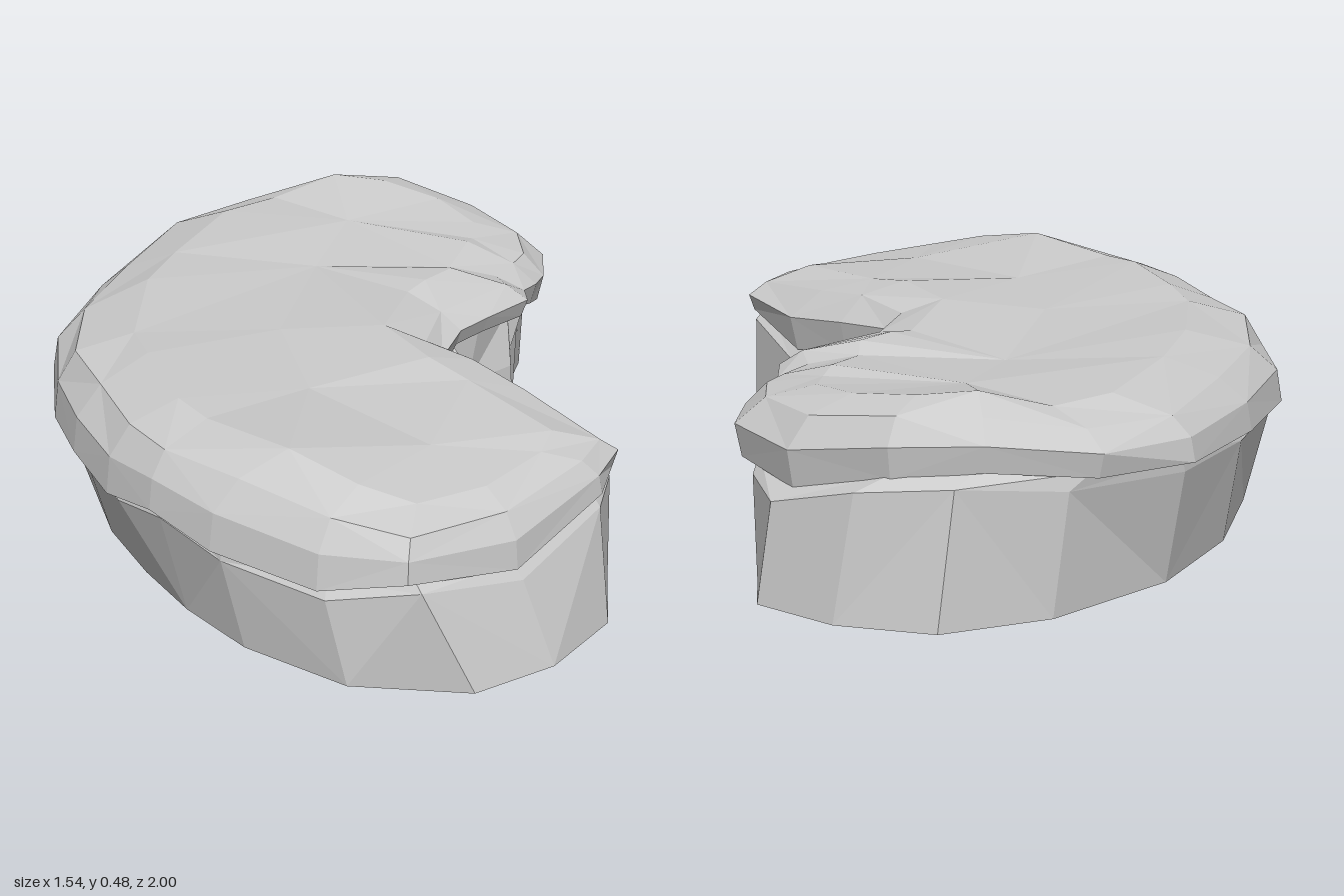
import * as THREE from 'three';

// Overhanging rim, clockwise from the back: x, z, height of its lower edge, height of its shoulder
const RIM = [
  [0.15, -1.0, 0.30, 0.40], [0.40, -0.95, 0.33, 0.44], [0.57, -0.84, 0.31, 0.44], [0.70, -0.62, 0.25, 0.405],
  [0.72, -0.38, 0.26, 0.395], [0.64, -0.25, 0.27, 0.39], [0.58, -0.19, 0.29, 0.39], [0.52, -0.15, 0.31, 0.39],
  [0.48, -0.07, 0.32, 0.40], [0.33, -0.01, 0.33, 0.40], [0.23, 0.03, 0.33, 0.40], [0.12, 0.13, 0.31, 0.40],
  [0.17, 0.28, 0.27, 0.41], [0.22, 0.47, 0.24, 0.39], [0.23, 0.71, 0.29, 0.36], [0.13, 0.80, 0.28, 0.36],
  [-0.16, 0.92, 0.22, 0.34], [-0.44, 0.94, 0.26, 0.35], [-0.58, 0.80, 0.22, 0.37], [-0.70, 0.54, 0.23, 0.39],
  [-0.75, 0.35, 0.26, 0.39], [-0.77, 0.17, 0.23, 0.39], [-0.75, -0.05, 0.24, 0.39], [-0.70, -0.27, 0.23, 0.395],
  [-0.60, -0.50, 0.25, 0.39], [-0.37, -0.74, 0.27, 0.39], [-0.10, -0.95, 0.29, 0.39],
];

// Foot of the wall on the ground: x, z
const BASE = [
  [0.25, -0.97], [0.51, -0.95], [0.68, -0.80], [0.77, -0.61], [0.71, -0.47], [0.60, -0.35], [0.52, -0.20],
  [0.50, -0.16], [0.44, -0.06], [0.29, -0.02], [0.21, 0.03], [0.27, 0.12], [0.23, 0.30], [0.23, 0.50],
  [0.22, 0.70], [0.11, 0.87], [-0.10, 0.98], [-0.31, 1.0], [-0.53, 0.84], [-0.64, 0.58], [-0.67, 0.36],
  [-0.67, 0.15], [-0.65, -0.08], [-0.60, -0.25], [-0.54, -0.44], [-0.34, -0.68], [-0.08, -0.87],
];

// Curved spine along the top, and the spine point each column runs to
const SPINE = [[0.28, 0.43, -0.62], [0.08, 0.41, -0.42], [-0.2, 0.42, -0.08], [-0.3, 0.415, 0.25], [-0.2, 0.4, 0.62]]
  .map((p) => new THREE.Vector3(...p));
const SPINE_OF = [...'000000011112334444443322110'].map(Number);

const mix = THREE.MathUtils.lerp;

// Skin between successive rings of equal length, leaving out collapsed triangles
function skin(rings) {
  const points = [];
  const tri = (a, b, c) => {
    if (a.distanceTo(b) > 1e-5 && b.distanceTo(c) > 1e-5 && c.distanceTo(a) > 1e-5) points.push(a, b, c);
  };
  for (let r = 0; r + 1 < rings.length; r++) {
    const low = rings[r], high = rings[r + 1];
    low.forEach((a, i) => {
      const j = (i + 1) % low.length;
      if ((i + r) % 2) {
        tri(a, high[i], low[j]);
        tri(low[j], high[i], high[j]);
      } else {
        tri(a, high[i], high[j]);
        tri(a, high[j], low[j]);
      }
    });
  }
  const geometry = new THREE.BufferGeometry().setFromPoints(points);
  geometry.computeVertexNormals();
  return geometry;
}

export function createModel() {
  const material = new THREE.MeshStandardMaterial({ color: 0xcccccc, flatShading: true, side: THREE.DoubleSide });
  const group = new THREE.Group();
  group.name = 'rock';

  // Point of column i, moved from (x, z) towards the spine by the share t
  const inward = (i, x, z, t, y) => {
    const s = SPINE[SPINE_OF[i]];
    return new THREE.Vector3(mix(x, s.x, t), y, mix(z, s.z, t));
  };
  const ring = (inset, height) => RIM.map(([x, z, low, top], i) => inward(i, x, z, inset(i), height(low, top, i)));

  // Wall: steep in the hollow with a block standing out there, flaring out elsewhere
  const isBlock = (i) => i >= 7 && i <= 9;
  const foot = BASE.map(([x, z]) => new THREE.Vector3(x, 0, z));
  const wallTop = RIM.map(([x, z, low], i) => {
    const lean = i >= 15 ? 0.8 : isBlock(i) ? 0 : 0.35;
    return inward(i, mix(BASE[i][0], x, lean), mix(BASE[i][1], z, lean), 0.02, isBlock(i) ? 0.2 : low - 0.025);
  });
  // Undercut below the rim, deeper on some columns, and the rim's lower edge
  const undercut = ring((i) => 0.08 + 0.03 * Math.sin(i * 1.9), (low) => low + 0.01);
  const lowerEdge = ring((i) => (i >= 15 ? 0 : 0.03), (low) => low);

  const wall = new THREE.Mesh(skin([foot, wallTop, undercut, lowerEdge]), material);
  wall.name = 'wall';

  // Cap: rounded rim, sloping shoulder and uneven top closing on the spine
  const rim = ring((i) => (i >= 15 ? 0.02 : 0), (low, top) => mix(low, top, 0.55));
  const shoulder = ring((i) => 0.12 + 0.02 * Math.sin(i * 2.1), (low, top) => top);
  const plateau = ring(() => 0.36, (low, top, i) => top + (i >= 18 ? 0.045 : 0.03) + 0.008 * Math.sin(i * 2.4));
  const ridge = SPINE_OF.map((s) => SPINE[s]);

  const cap = new THREE.Mesh(skin([lowerEdge, rim, shoulder, plateau, ridge]), material);
  cap.name = 'cap';

  group.add(wall, cap);
  return group;
}
